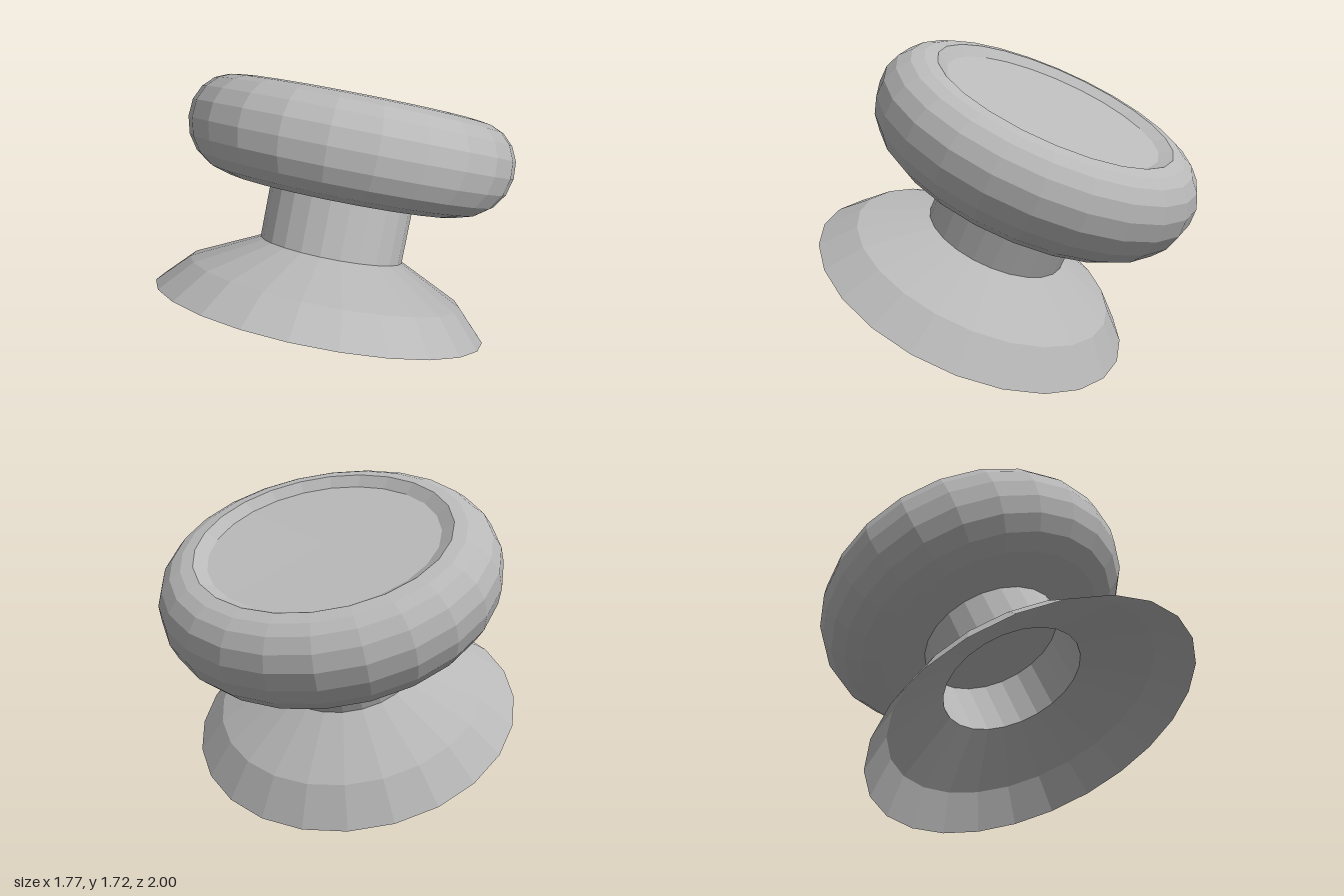
import * as THREE from 'three';

const SIDES = 24;

export function createModel() {
  const model = new THREE.Group();
  model.name = 'thumbstick';

  const grey = new THREE.MeshStandardMaterial({ color: 0xb8b8b8, flatShading: true, side: THREE.DoubleSide });
  grey.name = 'grey plastic';

  // Everything turns around one tilted axis, starting at the centre of the skirt rim
  const stick = new THREE.Group();
  stick.name = 'stick';
  stick.position.set(0, 0.393, 0.21);
  stick.rotation.x = THREE.MathUtils.degToRad(-26.4);
  model.add(stick);

  // Lathe part from [radius, height] pairs, listed bottom to top
  function turned(name, profile) {
    const points = profile.map(([r, y]) => new THREE.Vector2(r, y));
    const mesh = new THREE.Mesh(new THREE.LatheGeometry(points, SIDES), grey);
    mesh.name = name;
    stick.add(mesh);
  }

  // Open flared skirt
  turned('skirt', [[0.885, 0], [0.73, 0.158], [0.385, 0.325]]);

  // Hollow stem
  turned('stem', [[0.385, 0.325], [0.385, 0.63]]);

  // Rounded cap with a recessed thumb pad
  turned('cap', [
    [0, 0.63], [0.62, 0.63], [0.72, 0.66], [0.795, 0.715], [0.845, 0.79],
    [0.867, 0.88], [0.86, 0.97], [0.825, 1.045], [0.77, 1.1], [0.71, 1.127],
    [0.645, 1.137], [0.582, 1.098],
  ]);
  turned('thumbPad', [[0.582, 1.098], [0, 1.094]]);

  return model;
}
